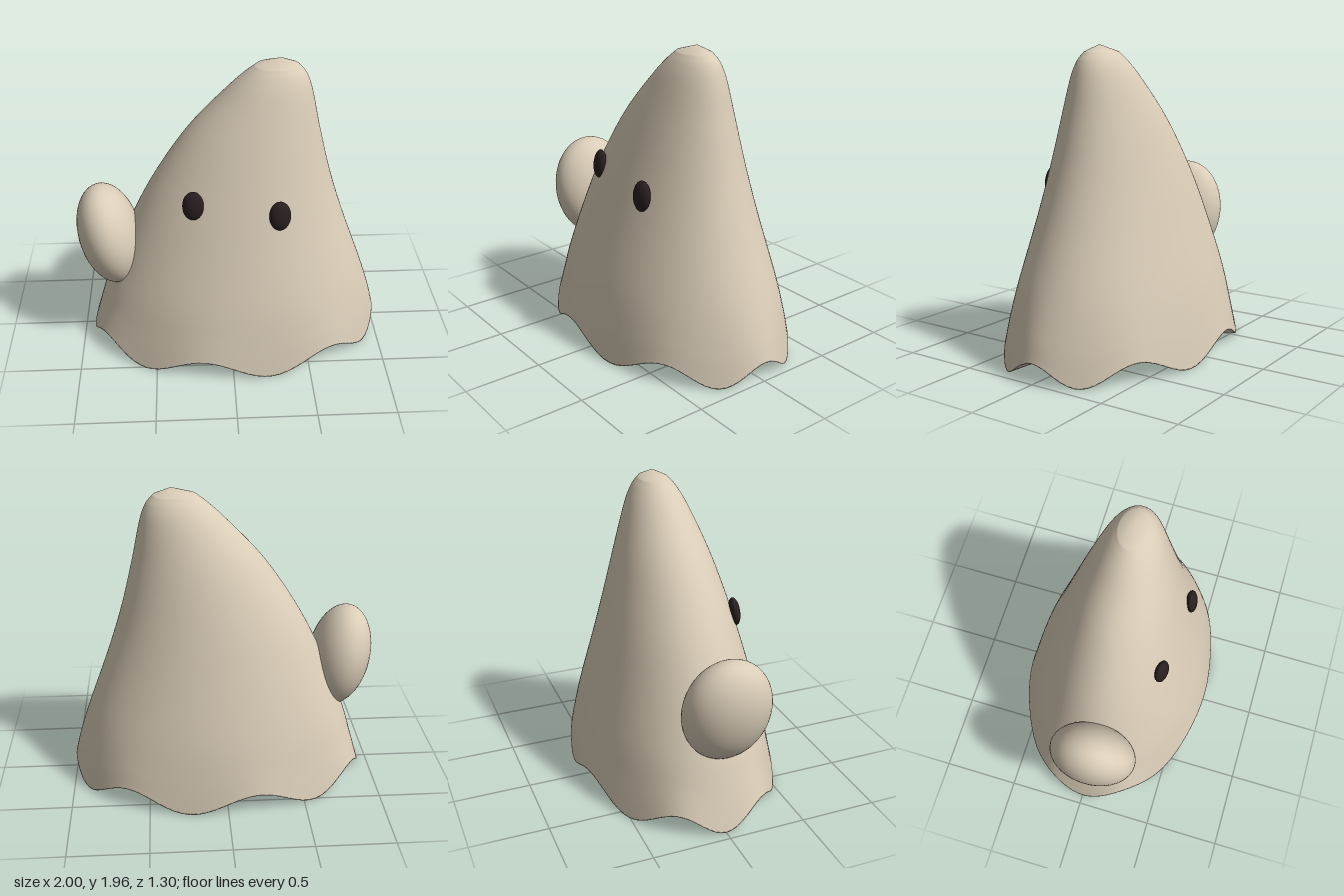
import * as THREE from 'three';

const SEGMENTS = 112;
const ROWS = 64;

// Cloak sections from hem to crown: [height, left edge x, right edge x, half depth]
const SECTIONS = [
  [0.065, -0.94, 1.0, 0.648],
  [0.25, -0.88, 0.96, 0.615],
  [0.5, -0.795, 0.885, 0.563],
  [0.9, -0.625, 0.74, 0.457],
  [1.2, -0.465, 0.645, 0.375],
  [1.5, -0.26, 0.57, 0.285],
  [1.75, -0.03, 0.515, 0.195],
  [1.86, 0.085, 0.475, 0.14],
  [1.92, 0.16, 0.425, 0.093],
];

// Leaning cloak of elliptical rings with a seven-wave hem, pointed crown and closed underside
function cloakGeometry() {
  const edges = new THREE.CatmullRomCurve3(
    SECTIONS.map(([y, l, r]) => new THREE.Vector3(l, y, r)), false, 'catmullrom');
  const depths = new THREE.CatmullRomCurve3(
    SECTIONS.map(([y, , , d]) => new THREE.Vector3(d, y, 0)), false, 'catmullrom');
  const positions = [];
  const index = [];

  for (let i = 0; i <= ROWS; i++) {
    const t = (i / ROWS) ** 1.3; // closer rows near the hem
    const edge = edges.getPoint(t);
    const depth = depths.getPoint(t).x;
    const center = (edge.x + edge.z) / 2;
    const radius = (edge.z - edge.x) / 2;
    const wave = 0.063 * Math.max(0, 1 - (edge.y - 0.065) / 0.6) ** 2;
    for (let j = 0; j < SEGMENTS; j++) {
      const a = (j / SEGMENTS) * Math.PI * 2;
      positions.push(
        center + radius * Math.cos(a),
        edge.y + wave * Math.cos(7 * a),
        depth * Math.sin(a));
    }
  }
  const under = positions.length / 3;
  const tip = under + 1;
  positions.push(0, 0.08, 0, 0.315, 1.965, 0);

  for (let j = 0; j < SEGMENTS; j++) {
    const k = (j + 1) % SEGMENTS;
    for (let i = 0; i < ROWS; i++) {
      const row = i * SEGMENTS;
      const next = row + SEGMENTS;
      index.push(row + j, next + j, row + k, row + k, next + j, next + k);
    }
    index.push(under, j, k);
    index.push(ROWS * SEGMENTS + j, tip, ROWS * SEGMENTS + k);
  }

  const geometry = new THREE.BufferGeometry();
  geometry.setAttribute('position', new THREE.Float32BufferAttribute(positions, 3));
  geometry.setIndex(index);
  geometry.computeVertexNormals();
  return geometry;
}

function ellipsoid(name, material, position, radii, rotation) {
  const mesh = new THREE.Mesh(new THREE.SphereGeometry(1, 40, 28), material);
  mesh.name = name;
  mesh.position.set(...position);
  mesh.scale.set(...radii);
  mesh.rotation.set(...rotation);
  return mesh;
}

export function createModel() {
  const cloth = new THREE.MeshStandardMaterial({ color: 0xdacdb8 });
  cloth.name = 'cream cloth';
  const dark = new THREE.MeshStandardMaterial({ color: 0x2a1f21 });
  dark.name = 'dark brown';

  const model = new THREE.Group();
  model.name = 'ghost';

  const body = new THREE.Mesh(cloakGeometry(), cloth);
  body.name = 'body';
  model.add(body);

  // Single raised arm on the right side
  model.add(ellipsoid('rightArm', cloth, [-0.788, 0.776, 0.052], [0.2, 0.35, 0.284], [0, 0, 0.21]));

  // Eyes lie against the sloping front
  model.add(ellipsoid('rightEye', dark, [-0.24, 1.143, 0.345], [0.067, 0.093, 0.036], [-0.15, -0.22, -0.05]));
  model.add(ellipsoid('leftEye', dark, [0.293, 1.088, 0.4], [0.068, 0.096, 0.036], [-0.12, 0.12, 0.03]));

  return model;
}
